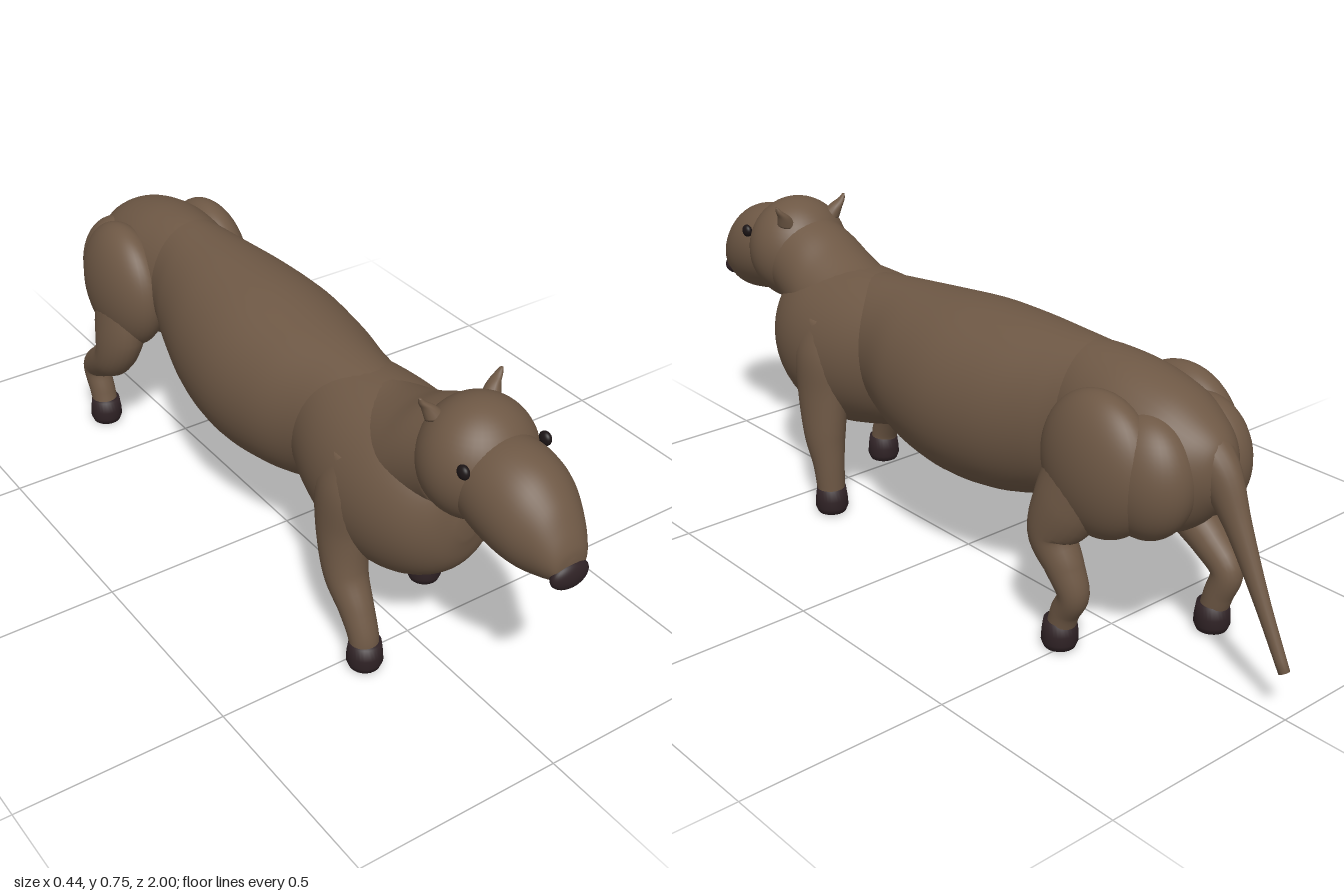
import * as THREE from 'three';

const hide = new THREE.MeshStandardMaterial({ color: 0x6e5845 });
hide.name = 'brown hide';
const horn = new THREE.MeshStandardMaterial({ color: 0x2f2225 });
horn.name = 'dark hoof';
const eyeBlack = new THREE.MeshStandardMaterial({ color: 0x1c1516 });
eyeBlack.name = 'eye black';

// Smooth skin over elliptical rings [x, y, z, halfWidth, halfDepth], capped at both ends.
// With upright set, all rings stand square to the z axis.
function loft(rows, upright = false, sides = 32, steps = 6) {
  const centres = new THREE.CatmullRomCurve3(rows.map(r => new THREE.Vector3(r[0], r[1], r[2])), false, 'catmullrom');
  const sizes = new THREE.CatmullRomCurve3(rows.map(r => new THREE.Vector3(r[3], r[4], 0)), false, 'catmullrom');
  const count = (rows.length - 1) * steps;
  const pos = [], index = [];
  const xAxis = new THREE.Vector3(1, 0, 0);
  for (let i = 0; i <= count; i++) {
    const c = centres.getPoint(i / count), s = sizes.getPoint(i / count);
    const t = upright ? new THREE.Vector3(0, 0, 1) : centres.getTangent(i / count);
    const n = t.cross(xAxis).normalize();
    for (let j = 0; j < sides; j++) {
      const a = (j / sides) * Math.PI * 2;
      const u = Math.max(s.x, 0.001) * Math.cos(a), v = Math.max(s.y, 0.001) * Math.sin(a);
      pos.push(c.x + u, c.y + n.y * v, c.z + n.z * v);
    }
  }
  for (let i = 0; i < count; i++) {
    for (let j = 0; j < sides; j++) {
      const a = i * sides + j, b = i * sides + (j + 1) % sides;
      index.push(a, b, a + sides, b, b + sides, a + sides);
    }
  }
  const first = rows[0], last = rows[rows.length - 1], p = pos.length / 3;
  pos.push(first[0], first[1], first[2], last[0], last[1], last[2]);
  for (let j = 0; j < sides; j++) {
    const k = (j + 1) % sides;
    index.push(p, k, j, p + 1, count * sides + j, count * sides + k);
  }
  const g = new THREE.BufferGeometry();
  g.setAttribute('position', new THREE.Float32BufferAttribute(pos, 3));
  g.setIndex(index);
  g.computeVertexNormals();
  return g;
}

// Body section given as [z, bottom, top, halfWidth]
const bodyLoft = rows => loft(rows.map(([z, b, t, w]) => [0, (b + t) / 2, z, w, (t - b) / 2]), true, 48);

export function createModel() {
  const model = new THREE.Group();
  model.name = 'animal';
  const add = (name, geometry, material = hide, parent = model) => {
    const mesh = new THREE.Mesh(geometry, material);
    mesh.name = name;
    parent.add(mesh);
    return mesh;
  };
  const ball = (name, p, r, material = hide) => {
    const m = add(name, new THREE.SphereGeometry(1, 40, 28), material);
    m.position.set(...p);
    m.scale.set(...r);
    return m;
  };

  // Trunk
  add('barrel', bodyLoft([
    [-0.55, 0.40, 0.665, 0.10], [-0.42, 0.33, 0.670, 0.125], [-0.34, 0.28, 0.670, 0.15],
    [-0.20, 0.236, 0.669, 0.187], [-0.05, 0.223, 0.664, 0.203], [0.10, 0.24, 0.650, 0.185],
    [0.22, 0.275, 0.639, 0.15], [0.32, 0.33, 0.628, 0.125], [0.42, 0.40, 0.615, 0.09]]));
  add('chest', bodyLoft([
    [0.12, 0.36, 0.60, 0.09], [0.21, 0.27, 0.62, 0.135], [0.32, 0.23, 0.625, 0.17], [0.43, 0.208, 0.625, 0.183],
    [0.53, 0.217, 0.62, 0.172], [0.61, 0.255, 0.59, 0.14], [0.66, 0.31, 0.54, 0.09], [0.682, 0.39, 0.46, 0.025]]));
  add('rump', bodyLoft([
    [-0.805, 0.46, 0.52, 0.02], [-0.785, 0.41, 0.56, 0.06], [-0.74, 0.35, 0.598, 0.105], [-0.67, 0.31, 0.637, 0.14],
    [-0.57, 0.30, 0.663, 0.15], [-0.47, 0.32, 0.671, 0.135], [-0.38, 0.36, 0.668, 0.11]]));

  // Neck rising from the shoulders to the skull
  add('neck', bodyLoft([
    [0.34, 0.40, 0.622, 0.09], [0.42, 0.37, 0.630, 0.12], [0.50, 0.38, 0.655, 0.13],
    [0.57, 0.42, 0.690, 0.125], [0.66, 0.47, 0.720, 0.115]]));

  // Head
  ball('skull', [0, 0.609, 0.69], [0.13, 0.136, 0.125]);
  add('muzzle', bodyLoft([
    [0.70, 0.50, 0.69, 0.095], [0.78, 0.475, 0.702, 0.106], [0.84, 0.462, 0.697, 0.105], [0.89, 0.458, 0.677, 0.094],
    [0.935, 0.465, 0.638, 0.073], [0.965, 0.475, 0.595, 0.055], [0.982, 0.487, 0.56, 0.038], [0.987, 0.51, 0.535, 0.01]]));
  ball('nose', [0, 0.497, 0.979], [0.047, 0.032, 0.021], horn);

  // Ears and eyes, mirrored
  for (const s of [1, -1]) {
    ball(s > 0 ? 'leftEye' : 'rightEye', [s * 0.105, 0.655, 0.771], [0.011, 0.016, 0.016], eyeBlack);
    add(s > 0 ? 'leftEar' : 'rightEar', loft([
      [s * 0.068, 0.695, 0.638, 0.026, 0.022], [s * 0.083, 0.72, 0.63, 0.016, 0.016],
      [s * 0.097, 0.735, 0.627, 0.009, 0.010], [s * 0.105, 0.748, 0.627, 0.003, 0.004]], false, 16));
  }

  // Tail
  add('tail', loft([
    [0, 0.53, -0.73, 0.06, 0.06], [0, 0.48, -0.785, 0.042, 0.052], [0, 0.39, -0.84, 0.026, 0.032],
    [0, 0.25, -0.913, 0.016, 0.019], [0, 0.11, -0.987, 0.012, 0.013]], false, 20));

  // Legs: side, rings down the limb, hoof centre
  const hoofShape = new THREE.LatheGeometry(
    [[0, 0.003], [0.024, 0.003], [0.036, 0.009], [0.042, 0.024], [0.041, 0.045], [0.037, 0.075], [0, 0.08]]
      .map(p => new THREE.Vector2(...p)), 28);
  const leg = (name, rows, hoofX, hoofZ) => {
    const group = new THREE.Group();
    group.name = name;
    model.add(group);
    add('limb', loft(rows, false, 24), hide, group);
    add('hoof', hoofShape, horn, group).position.set(hoofX, 0, hoofZ);
  };
  leg('leftFrontLeg', [
    [0.115, 0.52, 0.41, 0.045, 0.06], [0.128, 0.43, 0.41, 0.062, 0.085], [0.138, 0.33, 0.405, 0.056, 0.078],
    [0.148, 0.22, 0.39, 0.050, 0.060], [0.151, 0.14, 0.373, 0.040, 0.042], [0.151, 0.05, 0.365, 0.034, 0.033]], 0.15, 0.367);
  leg('rightFrontLeg', [
    [-0.115, 0.52, 0.43, 0.045, 0.06], [-0.128, 0.43, 0.43, 0.062, 0.085], [-0.138, 0.32, 0.43, 0.056, 0.075],
    [-0.148, 0.22, 0.455, 0.050, 0.055], [-0.151, 0.15, 0.50, 0.040, 0.042], [-0.151, 0.09, 0.53, 0.035, 0.035],
    [-0.151, 0.05, 0.535, 0.034, 0.033]], -0.15, 0.537);
  leg('leftHindLeg', [
    [0.14, 0.44, -0.54, 0.06, 0.10], [0.158, 0.36, -0.505, 0.057, 0.085], [0.167, 0.285, -0.475, 0.050, 0.062],
    [0.166, 0.22, -0.51, 0.043, 0.046], [0.160, 0.155, -0.535, 0.036, 0.036], [0.156, 0.10, -0.508, 0.034, 0.033],
    [0.155, 0.05, -0.493, 0.033, 0.032]], 0.155, -0.492);
  leg('rightHindLeg', [
    [-0.14, 0.44, -0.56, 0.06, 0.10], [-0.158, 0.34, -0.545, 0.057, 0.085], [-0.167, 0.265, -0.565, 0.050, 0.056],
    [-0.166, 0.215, -0.63, 0.043, 0.045], [-0.160, 0.165, -0.69, 0.036, 0.038], [-0.156, 0.10, -0.675, 0.034, 0.034],
    [-0.155, 0.05, -0.66, 0.033, 0.032]], -0.155, -0.662);

  // Haunches
  for (const s of [1, -1]) {
    ball(s > 0 ? 'leftHaunch' : 'rightHaunch', [s * 0.125, 0.465, -0.565], [0.085, 0.165, 0.155]);
    ball(s > 0 ? 'leftButtock' : 'rightButtock', [s * 0.085, 0.46, -0.66], [0.09, 0.14, 0.12]);
  }

  return model;
}
